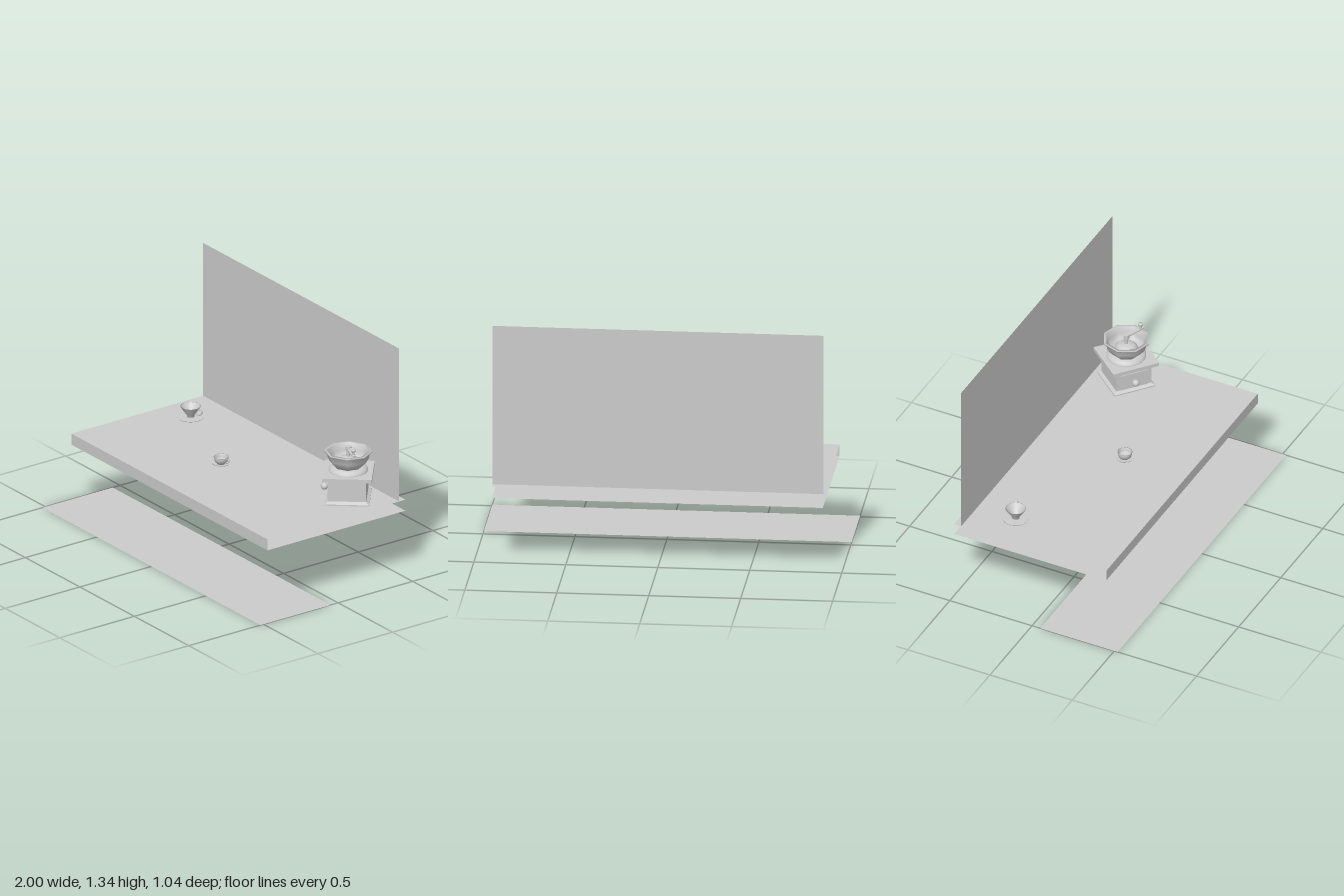
import * as THREE from 'three';

const grey = new THREE.MeshStandardMaterial({ color: 0xcccccc, side: THREE.DoubleSide });

function add(parent, name, geometry, x = 0, y = 0, z = 0) {
  const mesh = new THREE.Mesh(geometry, grey);
  mesh.name = name;
  mesh.position.set(x, y, z);
  parent.add(mesh);
  return mesh;
}

function group(parent, name, x, y, z, turn = 0) {
  const g = new THREE.Group();
  g.name = name;
  g.position.set(x, y, z);
  g.rotation.y = turn;
  parent.add(g);
  return g;
}

const lathe = (points, sides = 24) =>
  new THREE.LatheGeometry(points.map(([r, y]) => new THREE.Vector2(r, y)), sides);

const flat = (w, d) => new THREE.PlaneGeometry(w, d).rotateX(-Math.PI / 2);

// Ear-shaped handle in the xy plane, from an upper to a lower point
function earHandle(points, radius) {
  const curve = new THREE.CatmullRomCurve3(points.map(([x, y]) => new THREE.Vector3(x, y, 0)));
  return new THREE.TubeGeometry(curve, 16, radius, 6);
}

// Square block whose sides taper from width a at the bottom to width b on top
function taperedSquare(a, b, h) {
  return new THREE.CylinderGeometry(b / Math.SQRT2, a / Math.SQRT2, h, 4, 1)
    .rotateY(Math.PI / 4).toNonIndexed();
}

function buildGrinder(root) {
  const g = group(root, 'grinder', 0.693, 0.438, -0.293, -0.69);

  // Wooden box with flared foot and overhanging plate
  add(g, 'foot', new THREE.BoxGeometry(0.24, 0.009, 0.24), 0, 0.0045, 0);
  const flare = add(g, 'footFlare', taperedSquare(0.24, 0.206, 0.012), 0, 0.015, 0);
  flare.geometry.computeVertexNormals();
  add(g, 'body', new THREE.BoxGeometry(0.206, 0.136, 0.206), 0, 0.08, 0);
  add(g, 'topPlate', new THREE.BoxGeometry(0.27, 0.021, 0.27), 0, 0.155, 0);

  // Drawer and knob
  add(g, 'drawer', new THREE.BoxGeometry(0.16, 0.094, 0.008), 0, 0.07, 0.104);
  const stem = add(g, 'knobStem', new THREE.CylinderGeometry(0.008, 0.01, 0.02, 12), 0, 0.066, 0.115);
  stem.rotation.x = Math.PI / 2;
  add(g, 'knob', new THREE.SphereGeometry(0.02, 16, 12), 0, 0.066, 0.13);

  // Collar and eight-sided hopper bowl
  add(g, 'collar', lathe([[0.108, 0.166], [0.108, 0.172], [0.1, 0.183], [0.086, 0.191], [0.07, 0.193]]));
  add(g, 'bowl', lathe([
    [0.001, 0.192], [0.08, 0.192], [0.1, 0.214], [0.112, 0.238], [0.119, 0.27],
    [0.13, 0.271], [0.13, 0.279], [0.113, 0.279], [0.106, 0.24], [0.094, 0.217], [0.07, 0.2], [0.001, 0.2],
  ], 8));
  add(g, 'bearingDome', lathe([[0.066, 0.2], [0.062, 0.222], [0.045, 0.238], [0.02, 0.245], [0.001, 0.246]]));
  add(g, 'axle', new THREE.CylinderGeometry(0.009, 0.009, 0.07, 12), 0, 0.26, 0);
  add(g, 'hub', new THREE.CylinderGeometry(0.016, 0.016, 0.024, 16), 0, 0.292, 0);

  // Crank arm, with its direction set in the room frame
  const crank = group(g, 'crank', 0, 0.294, 0, 0.69 - 0.36);
  add(crank, 'crankArm', new THREE.BoxGeometry(0.125, 0.007, 0.024), 0.052, 0, 0);
  const end = new THREE.CylinderGeometry(0.012, 0.012, 0.007, 16);
  add(crank, 'crankEnd', end, 0.114, 0, 0);
  add(crank, 'crankHandle', lathe([
    [0.001, 0], [0.011, 0], [0.007, 0.008], [0.007, 0.02], [0.014, 0.024], [0.013, 0.032], [0.001, 0.034],
  ], 12), 0.104, 0, 0);
}

function buildCup(root) {
  const g = group(root, 'cupAndSaucer', 0, 0.478, 0.053, 0.25);
  add(g, 'saucer', lathe([
    [0.001, 0], [0.02, 0], [0.022, 0.005], [0.05, 0.013], [0.051, 0.016], [0.024, 0.01], [0.001, 0.009],
  ]));
  add(g, 'cup', lathe([
    [0.001, 0.01], [0.022, 0.01], [0.024, 0.016], [0.034, 0.022], [0.038, 0.036], [0.041, 0.051],
    [0.037, 0.051], [0.034, 0.036], [0.03, 0.024], [0.001, 0.019],
  ]));
  add(g, 'cupHandle', earHandle([[0.037, 0.043], [0.05, 0.047], [0.057, 0.04], [0.05, 0.028], [0.035, 0.024]], 0.003));
}

function buildDripCone(root) {
  const g = group(root, 'dripCone', -0.7, 0.441, -0.253, 0.3);
  add(g, 'coneBase', lathe([[0.001, 0], [0.07, 0], [0.07, 0.003], [0.001, 0.003]], 32));
  add(g, 'cone', lathe([
    [0.02, 0.003], [0.02, 0.012], [0.056, 0.066], [0.052, 0.066], [0.014, 0.012], [0.001, 0.01],
  ], 32));
  add(g, 'coneHandle', earHandle([[0.047, 0.054], [0.066, 0.059], [0.078, 0.052], [0.068, 0.032], [0.035, 0.023]], 0.004));
}

export function createModel() {
  const root = new THREE.Group();
  root.name = 'coffeeCorner';

  // Room sheets: floor strip, wall and the open-ended counter
  add(root, 'floor', flat(2, 0.47), 0, 0, 0.285);
  add(root, 'wall', new THREE.PlaneGeometry(1.8, 0.9), 0, 0.89, -0.483);
  const counter = group(root, 'counter', 0, 0, 0);
  add(counter, 'counterTop', flat(1.8, 0.925), 0, 0.44, -0.0625);
  add(counter, 'counterFront', new THREE.PlaneGeometry(1.8, 0.065), 0, 0.4075, 0.4);
  add(counter, 'counterBottom', flat(1.8, 0.925), 0, 0.375, -0.0625);

  buildGrinder(root);
  buildCup(root);
  buildDripCone(root);

  // Thin scattered flakes lying on the counter
  const flakes = group(root, 'flakes', 0.7, 0.442, 0.045, 0.6);
  [[-0.02, -0.035], [0.025, -0.02], [-0.015, 0.01], [0.03, 0.03], [-0.02, 0.05]].forEach(([x, z], i) => {
    const flake = add(flakes, 'flake', new THREE.CircleGeometry(0.018, 10).scale(1.3, 0.8, 1).rotateX(-Math.PI / 2), x, 0, z);
    flake.rotation.y = i * 1.3;
  });
  return root;
}
